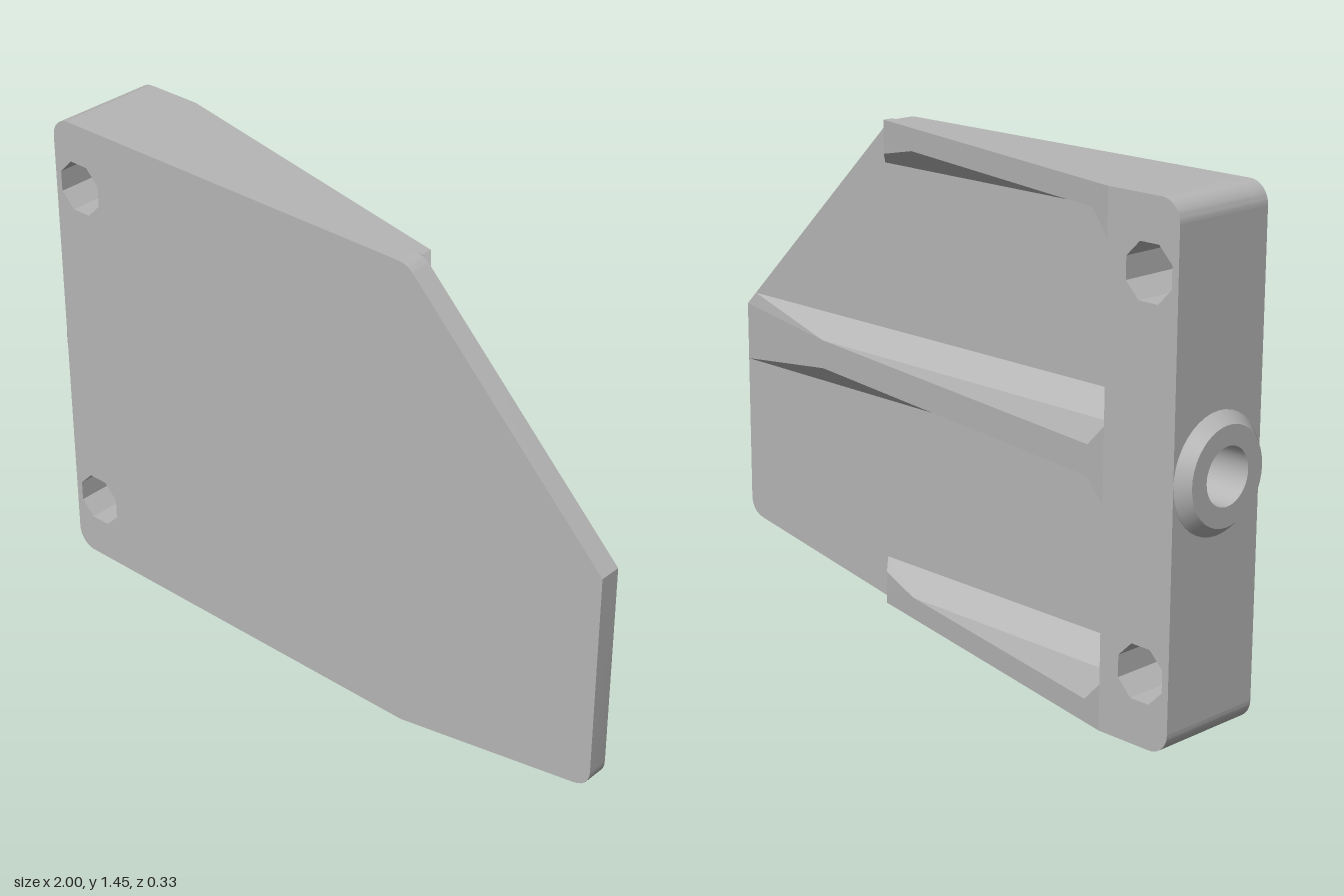
import * as THREE from 'three';
import { toCreasedNormals } from 'three/addons/utils/BufferGeometryUtils.js';
import { ConvexGeometry } from 'three/addons/geometries/ConvexGeometry.js';

const H = 1.445, MID = H / 2;         // height and its middle
const L = -0.965, WALL = -0.73;       // left side, pocket end wall
const BACK = -0.165, FLOOR = 0.1, FRONT = 0.165;
const C = 0.065, FZ = FLOOR - C;      // chamfer size, depth where the floor chamfer starts
const R = 0.06;                       // rounded corner
const HOLES = [0.2, 1.25];            // heights of the screw holes

// depth of the rib backs along x
const midRamp = (x) => BACK + (x - WALL) * (FLOOR - BACK) / (1 - WALL);
const outerRamp = (x) => BACK + (x - WALL) * (0.067 - BACK) / (0.34 - WALL);

function addScrewHoles(shape) {
  for (const y of HOLES) {
    const pts = [];
    for (let i = 0; i < 8; i++) {
      const a = (i + 0.5) * Math.PI / 4;
      pts.push(new THREE.Vector2(-0.869 + 0.081 * Math.cos(a), y + 0.081 * Math.sin(a)));
    }
    shape.holes.push(new THREE.Path(pts));
  }
  return shape;
}

// rounded left corners, closing the outline
function leftSide(s) {
  s.lineTo(L + R, H);
  s.absarc(L + R, H - R, R, Math.PI / 2, Math.PI, false);
  s.lineTo(L, R);
  s.absarc(L + R, R, R, Math.PI, Math.PI * 1.5, false);
  return addScrewHoles(s);
}

// extrusion without its flat left face, which is made separately with a bore
function slab(shape, z0, z1) {
  const g = new THREE.ExtrudeGeometry(shape, { depth: z1 - z0, bevelEnabled: false, curveSegments: 6 });
  g.translate(0, 0, z0);
  const p = g.attributes.position, keep = [];
  for (let i = 0; i < p.count; i += 3) {
    if ([0, 1, 2].every((k) => p.getX(i + k) < L + 1e-4)) continue;
    for (let k = 0; k < 3; k++) keep.push(p.getX(i + k), p.getY(i + k), p.getZ(i + k));
  }
  const out = new THREE.BufferGeometry();
  out.setAttribute('position', new THREE.Float32BufferAttribute(keep, 3));
  return toCreasedNormals(out, 0.5);
}

export function createModel() {
  const model = new THREE.Group();
  const grey = new THREE.MeshStandardMaterial({ color: 0xb6b6b6 });
  grey.name = 'grey';
  const add = (name, geometry, parent = model) => {
    const m = new THREE.Mesh(geometry, grey);
    m.name = name;
    parent.add(m);
  };
  const group = (name) => {
    const g = new THREE.Group();
    g.name = name;
    model.add(g);
    return g;
  };
  const hull = (pts) => new ConvexGeometry(pts.map((p) => new THREE.Vector3(...p)));

  // front plate
  const plate = new THREE.Shape();
  plate.moveTo(L + R, 0);
  plate.lineTo(0.345, 0);
  plate.lineTo(0.945, 0.108);
  plate.quadraticCurveTo(1, 0.118, 1, 0.17);
  plate.lineTo(1, 0.79);
  plate.lineTo(0.366, 1.424);
  plate.quadraticCurveTo(0.345, H, 0.315, H);
  add('frontPlate', slab(leftSide(plate), FLOOR, FRONT));

  // thick mounting block
  const block = new THREE.Shape();
  block.moveTo(L + R, 0);
  block.lineTo(WALL, 0);
  block.lineTo(WALL, H);
  add('mountingBlock', slab(leftSide(block), BACK, FLOOR));

  // left face with an opening for the bore
  const side = new THREE.Shape();
  side.moveTo(BACK, R);
  side.lineTo(FRONT, R);
  side.lineTo(FRONT, H - R);
  side.lineTo(BACK, H - R);
  const opening = new THREE.Path();
  opening.absarc(0, MID, 0.1, 0, Math.PI * 2, true);
  side.holes.push(opening);
  add('leftFace', new THREE.ShapeGeometry(side, 16).rotateY(-Math.PI / 2).translate(L, 0, 0));

  // chamfered boss with a blind bore
  const profile = [[0.165, 0.962], [0.165, 0.967], [0.135, 1], [0.08, 1], [0.08, 0.745], [0, 0.745]]
    .map(([r, y]) => new THREE.Vector2(r, y));
  const boss = new THREE.LatheGeometry(profile, 40).rotateZ(Math.PI / 2).translate(0, MID, 0);
  add('boss', toCreasedNormals(boss, 0.5));

  // chamfers where a rib side at height y meets the end wall, d pointing into the pocket
  const pocketCorner = (y, d, ramp, parent) => {
    const e = y + d * C, x = WALL + C;
    add('cornerChamfer', hull([
      [WALL, y, BACK], [x, y, ramp(x)], [WALL, e, BACK],
      [WALL, y, FLOOR], [x, y, FLOOR], [WALL, e, FLOOR],
    ]), parent);
    add('cornerFoot', hull([
      [WALL, y, FZ], [x, y, FZ], [WALL, e, FZ],
      [WALL, y, FLOOR], [x, y, FLOOR], [WALL, e, FLOOR], [x, e, FLOOR],
    ]), parent);
  };

  // middle rib, running to the right edge
  const middle = group('middleRib');
  const half = 0.0425, endX = 0.577;
  const core = [];
  for (const s of [-1, 1]) {
    const y = MID + s * half, e = y + s * C;
    core.push([WALL, y, BACK], [WALL, y, FLOOR], [1, y, midRamp(1)]);
    const tip = s > 0 ? [[0.96, e, FLOOR], [1, 0.79, FLOOR]] : [[1, e, FLOOR]];
    add('ribFoot', hull([
      [WALL, y, FZ], [WALL, y, FLOOR], [WALL, e, FLOOR], [endX, y, FZ], [1, y, FLOOR], ...tip,
    ]), middle);
    pocketCorner(y, s, midRamp, middle);
  }
  add('ribCore', hull(core), middle);

  // steeper upper and lower ribs, mirrored in height
  for (const top of [true, false]) {
    const rib = group(top ? 'upperRib' : 'lowerRib');
    const f = (y) => (top ? H - y : y);
    const clip = top ? 0.033 : 0.005;
    add('ribCore', hull([
      [WALL, f(0), BACK], [WALL, f(0), FLOOR], [0.34, f(0), 0.067], [0.34, f(0), FLOOR], [0.37, f(clip), FLOOR],
      [WALL, f(C), BACK], [WALL, f(C), FLOOR], [0.34, f(C), 0.067], [0.37, f(C), FLOOR],
    ]), rib);
    add('ribFoot', hull([
      [WALL, f(C), FZ], [WALL, f(C), FLOOR], [WALL, f(2 * C), FLOOR], [0.192, f(C), FZ],
      [0.34, f(C), 0.067], [0.34, f(C + 0.032), 0.067], [0.37, f(C), FLOOR], [0.37, f(2 * C), FLOOR],
    ]), rib);
    pocketCorner(f(C), top ? -1 : 1, outerRamp, rib);

    // chamfer along the foot of the pocket end wall
    const y0 = f(2 * C), y1 = MID + (top ? 1 : -1) * (half + C);
    add('wallFoot', hull([y0, y1].flatMap((y) => [
      [WALL, y, FZ], [WALL, y, FLOOR], [WALL + C, y, FLOOR],
    ])), rib);
  }
  return model;
}
